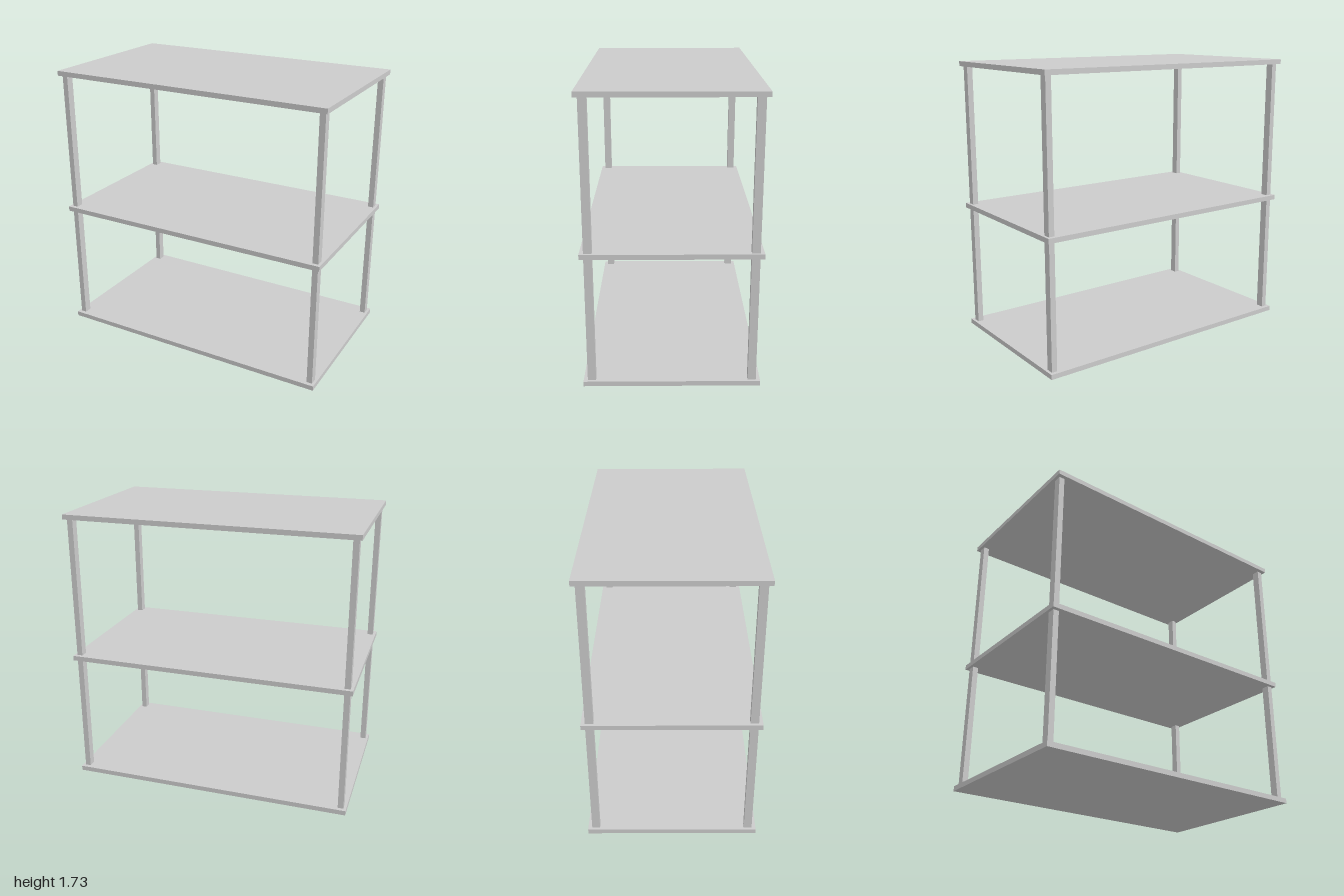
import * as THREE from 'three';

export function createModel() {
  const model = new THREE.Group();
  model.name = 'shelfUnit';
  const material = new THREE.MeshStandardMaterial({ color: 0xcccccc, flatShading: true });

  const addBox = (name, w, h, d, x, bottom, z) => {
    const mesh = new THREE.Mesh(new THREE.BoxGeometry(w, h, d), material);
    mesh.name = name;
    mesh.position.set(x, bottom + h / 2, z);
    unit.add(mesh);
  };

  // The whole unit stands turned about the vertical axis
  const unit = new THREE.Group();
  unit.name = 'turnedUnit';
  unit.rotation.y = -0.762;
  model.add(unit);

  // Three equal boards
  const thickness = 0.03;
  const levels = [0, 0.797, 1.7];
  const boards = ['bottomShelf', 'middleShelf', 'topShelf'];
  levels.forEach((y, i) => addBox(boards[i], 1.775, thickness, 1.03, 0, y, 0));

  // Four posts between each pair of boards, set in from the corners
  for (let i = 0; i < 2; i++) {
    const bottom = levels[i] + thickness;
    const height = levels[i + 1] - bottom;
    for (const sx of [-1, 1]) {
      for (const sz of [-1, 1]) {
        addBox(i ? 'upperPost' : 'lowerPost', 0.035, height, 0.048, sx * 0.853, bottom, sz * 0.467);
      }
    }
  }

  return model;
}
